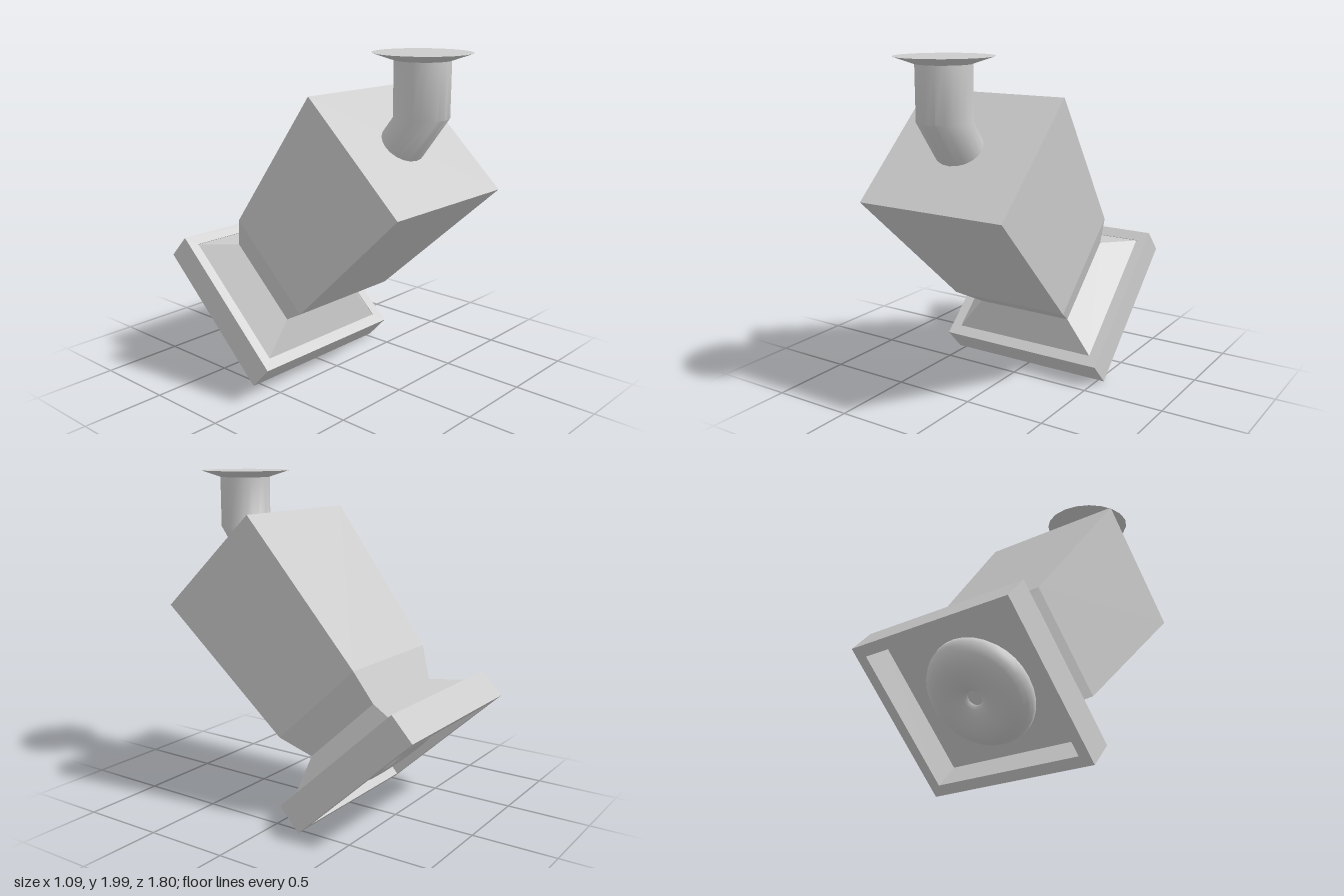
import * as THREE from 'three';
import { toCreasedNormals } from 'three/addons/utils/BufferGeometryUtils.js';

const material = new THREE.MeshStandardMaterial({ color: 0xcccccc });

function part(name, geometry) {
  const mesh = new THREE.Mesh(geometry, material);
  mesh.name = name;
  return mesh;
}

// Closed skin through rings of equal point count, counter-clockwise seen from the last ring
function loft(rings, crease) {
  const pos = [];
  const tri = (...pts) => pts.forEach((p) => pos.push(p.x, p.y, p.z));
  const n = rings[0].length;
  for (let r = 0; r < rings.length - 1; r++) {
    const a = rings[r], b = rings[r + 1];
    for (let i = 0; i < n; i++) {
      const j = (i + 1) % n;
      tri(a[i], a[j], b[j]);
      tri(a[i], b[j], b[i]);
    }
  }
  const first = rings[0], last = rings[rings.length - 1];
  for (let i = 1; i < n - 1; i++) {
    tri(first[0], first[i + 1], first[i]);
    tri(last[0], last[i], last[i + 1]);
  }
  const geometry = new THREE.BufferGeometry();
  geometry.setAttribute('position', new THREE.Float32BufferAttribute(pos, 3));
  return toCreasedNormals(geometry, crease);
}

const rectangle = (w, h, z) =>
  [[1, 1], [-1, 1], [-1, -1], [1, -1]].map(([x, y]) => new THREE.Vector3(x * w, y * h, z));

export function createModel() {
  const model = new THREE.Group();
  model.name = 'floodlight';

  // Tilted lamp head, local +z pointing along the beam
  const up = new THREE.Vector3(0, 0.681, -0.732).normalize();
  const beam = new THREE.Vector3(0, -0.732, -0.681).normalize();
  const head = new THREE.Group();
  head.name = 'lampHead';
  head.quaternion.setFromRotationMatrix(
    new THREE.Matrix4().makeBasis(new THREE.Vector3(-1, 0, 0), up, beam));
  head.position.set(-0.004, 1.49, 0.525);
  model.add(head);

  // Housing tapers to a neck, then flares to the rim
  const sections = [
    [0.465, 0.418, 0], [0.388, 0.348, 1.048], [0.318, 0.284, 1.242], [0.478, 0.427, 1.385],
  ];
  head.add(part('housing', loft(sections.map((s) => rectangle(...s)), 0.1)));

  // Rectangular rim around the recessed front
  const outline = new THREE.Shape(rectangle(0.5425, 0.4935, 0).map((p) => new THREE.Vector2(p.x, p.y)));
  outline.holes.push(new THREE.Path(
    rectangle(0.478, 0.427, 0).reverse().map((p) => new THREE.Vector2(p.x, p.y))));
  const rim = part('rim', new THREE.ExtrudeGeometry(outline, { depth: 0.184, bevelEnabled: false }));
  rim.position.z = 1.381;
  head.add(rim);

  // Rounded lens with a dimple and a small flat centre
  const profile = [new THREE.Vector2(0.3, 0)];
  for (let i = 0; i <= 12; i++) {
    const a = (i / 12) * Math.PI;
    const inner = a > Math.PI / 2;
    profile.push(new THREE.Vector2(
      0.185 + 0.14 * Math.cos(a),
      inner ? 0.105 + 0.05 * Math.sin(a) : 0.035 + 0.12 * Math.sin(a)));
  }
  const lens = part('lens', new THREE.LatheGeometry(profile, 32).rotateX(Math.PI / 2));
  lens.position.z = 1.385;
  const centre = part('lensCentre', new THREE.CircleGeometry(0.046, 24));
  centre.position.z = 1.385 + 0.105;
  head.add(lens, centre);

  // Bent mounting pipe opening into the ceiling flange
  const ring = (y, z, radius, depthAxis) => Array.from({ length: 20 }, (_, i) => {
    const a = (i / 20) * Math.PI * 2;
    return new THREE.Vector3(-0.027 + radius * Math.cos(a), y, z)
      .addScaledVector(depthAxis, Math.sin(a));
  });
  const back = (r) => new THREE.Vector3(0, 0, -r);
  model.add(part('mountingPipe', loft([
    ring(1.475, 0.495, 0.153, up.clone().multiplyScalar(0.125)),
    ring(1.655, 0.633, 0.153, back(0.153)),
    ring(1.96, 0.633, 0.153, back(0.153)),
    ring(2.0, 0.63, 0.272, back(0.272)),
  ], 0.7)));

  return model;
}
